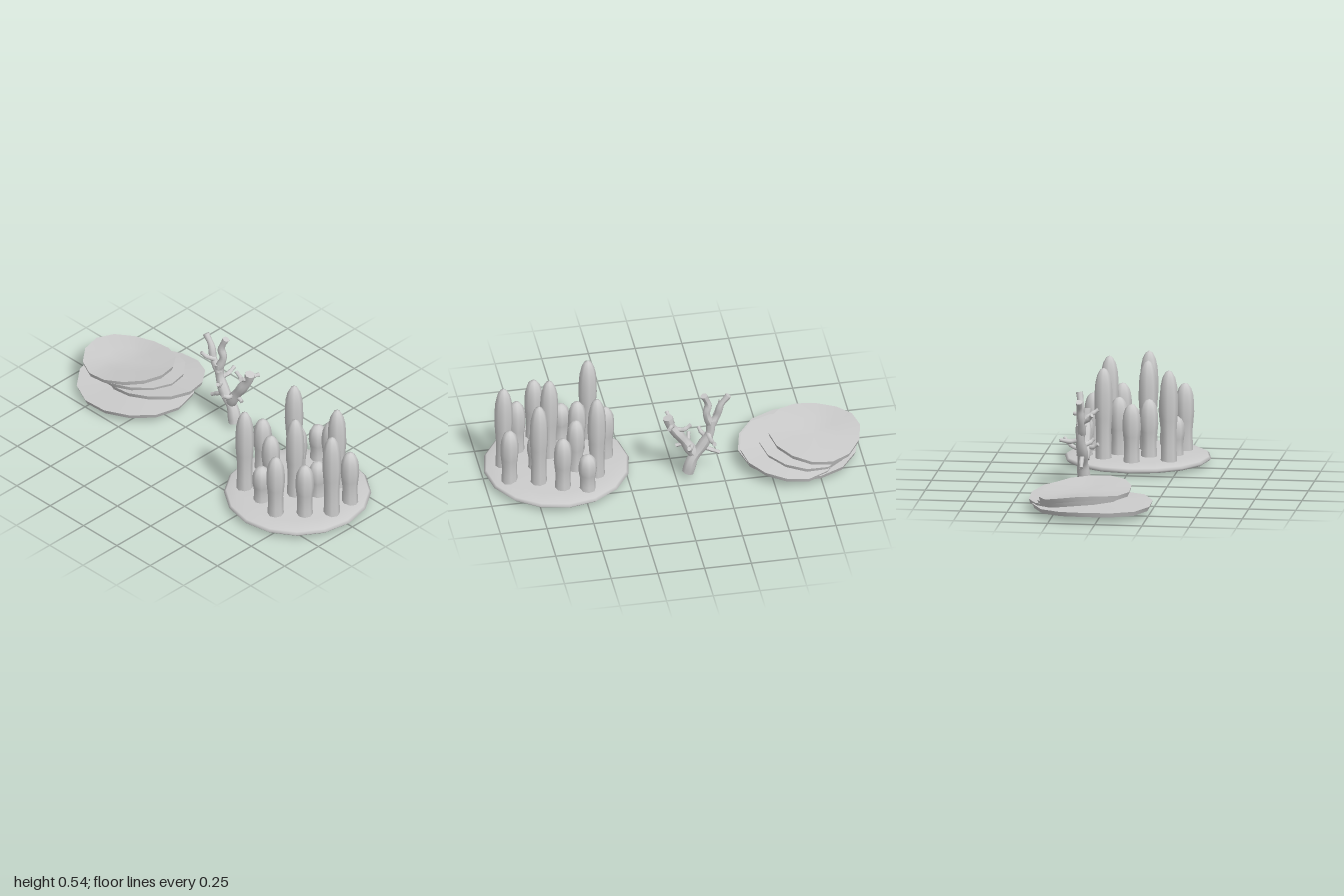
import * as THREE from 'three';
import { toCreasedNormals } from 'three/addons/utils/BufferGeometryUtils.js';

const material = new THREE.MeshStandardMaterial({ color: 0xcccccc, side: THREE.DoubleSide });
const V2 = ([x, y]) => new THREE.Vector2(x, y);

function addMesh(parent, name, geometry) {
  const mesh = new THREE.Mesh(geometry, material);
  mesh.name = name;
  parent.add(mesh);
  return mesh;
}

// Tapered, slightly knobbly tube with flat ends
function addLimb(parent, name, points, r0, r1) {
  const curve = new THREE.CatmullRomCurve3(points.map(p => new THREE.Vector3(...p)));
  const steps = points.length * 4, sides = 8;
  const geo = new THREE.TubeGeometry(curve, steps, 1, sides);
  const pos = geo.attributes.position;
  const v = new THREE.Vector3();
  const radius = t => r0 + (r1 - r0) * t + 0.1 * r1 * Math.sin(t * 14);
  for (let i = 0; i < pos.count; i++) {
    const t = Math.floor(i / (sides + 1)) / steps;
    const c = curve.getPointAt(t);
    v.fromBufferAttribute(pos, i).sub(c).multiplyScalar(radius(t)).add(c);
    pos.setXYZ(i, v.x, v.y, v.z);
  }
  geo.computeVertexNormals();
  const limb = new THREE.Group();
  limb.name = name;
  parent.add(limb);
  addMesh(limb, name + 'Surface', geo);
  for (const t of [0, 1]) {
    const cap = addMesh(limb, name + 'End', new THREE.CircleGeometry(radius(t), sides));
    const dir = curve.getTangentAt(t).multiplyScalar(t ? 1 : -1);
    cap.position.copy(curve.getPointAt(t));
    cap.quaternion.setFromUnitVectors(new THREE.Vector3(0, 0, 1), dir);
  }
}

// Round base carrying fingers of several heights
function createFingerCoral() {
  const group = new THREE.Group();
  group.name = 'fingerCoral';
  const baseProfile = [[0, 0], [0.3, 0.008], [0.375, 0.017], [0.388, 0.03], [0.375, 0.042], [0.3, 0.057], [0, 0.066]];
  const base = addMesh(group, 'coralBase', new THREE.LatheGeometry(baseProfile.map(V2), 16));
  base.position.set(-0.015, 0.003, 0.605);
  const profile = [[0.044, 0], [0.041, 0.15], [0.04, 0.32], [0.045, 0.46], [0.049, 0.58], [0.048, 0.72],
    [0.044, 0.83], [0.034, 0.92], [0.018, 0.98], [0, 1]];
  // x, z, top height
  const fingers = [
    [-0.016, 0.344, 0.37], [-0.206, 0.402, 0.545], [0.143, 0.418, 0.545], [-0.09, 0.481, 0.37],
    [-0.222, 0.545, 0.27], [0.074, 0.518, 0.37], [0.252, 0.487, 0.27], [0.222, 0.614, 0.37],
    [-0.063, 0.635, 0.545], [-0.254, 0.683, 0.42], [0.021, 0.72, 0.27], [0.153, 0.73, 0.545],
    [-0.148, 0.794, 0.37], [-0.037, 0.884, 0.545], [0.103, 0.878, 0.37],
  ];
  const foot = 0.05;
  for (const [x, z, top] of fingers) {
    const pts = profile.map(([r, t]) => V2([r, t * (top - foot)]));
    addMesh(group, 'finger', new THREE.LatheGeometry(pts, 8)).position.set(x, foot, z);
  }
  return group;
}

// Forked stem with short twigs
function createBranchCoral() {
  const group = new THREE.Group();
  group.name = 'branchCoral';
  addLimb(group, 'stem', [[0.18, 0.04, -0.064], [0.185, 0.12, -0.085], [0.18, 0.2, -0.14],
    [0.185, 0.28, -0.18], [0.18, 0.36, -0.185]], 0.033, 0.024);
  addLimb(group, 'frontBranch', [[0.18, 0.16, -0.09], [0.175, 0.22, -0.055], [0.18, 0.29, -0.01],
    [0.185, 0.35, 0.03], [0.185, 0.405, 0.045]], 0.03, 0.025);
  addLimb(group, 'upperBranch', [[0.18, 0.33, -0.185], [0.19, 0.41, -0.16], [0.185, 0.46, -0.17],
    [0.195, 0.53, -0.145]], 0.023, 0.017);
  addLimb(group, 'backBranch', [[0.18, 0.31, -0.18], [0.175, 0.38, -0.22], [0.18, 0.45, -0.24],
    [0.18, 0.505, -0.28]], 0.023, 0.016);
  const twigs = [
    [[0.18, 0.19, -0.14], [0.18, 0.17, -0.18], [0.175, 0.14, -0.23]],
    [[0.18, 0.32, 0.0], [0.2, 0.33, -0.04], [0.2, 0.355, -0.075]],
    [[0.19, 0.21, -0.08], [0.24, 0.22, -0.065], [0.29, 0.265, -0.05]],
    [[0.19, 0.28, -0.17], [0.24, 0.27, -0.175], [0.295, 0.28, -0.185]],
    [[0.17, 0.23, -0.05], [0.14, 0.22, -0.07], [0.105, 0.24, -0.08]],
    [[0.175, 0.38, -0.21], [0.14, 0.4, -0.23], [0.115, 0.43, -0.25]],
    [[0.18, 0.36, 0.02], [0.15, 0.38, 0.03], [0.12, 0.4, 0.04]],
    [[0.185, 0.35, 0.02], [0.22, 0.37, 0.035], [0.25, 0.375, 0.05]],
    [[0.18, 0.23, -0.07], [0.175, 0.22, -0.03], [0.17, 0.21, 0.0]],
    [[0.17, 0.25, -0.16], [0.14, 0.26, -0.14], [0.12, 0.28, -0.13]],
  ];
  for (const points of twigs) addLimb(group, 'twig', points, 0.014, 0.01);
  return group;
}

// Thin many-sided plate, tilted and bent along z
function addPlate(parent, { x, y, z, r, sides, slopeX = 0, slopeZ = 0, bend = 0, sag = 0 }) {
  const profile = [[0, -0.012 - sag], [r * 0.5, -0.012 - sag * 0.6], [r * 0.97, -0.012], [r, 0.012], [r * 0.5, 0.014], [0, 0.01]];
  const geo = new THREE.LatheGeometry(profile.map(V2), sides);
  const pos = geo.attributes.position;
  for (let i = 0; i < pos.count; i++) {
    const px = pos.getX(i), pz = pos.getZ(i);
    const ripple = 0.006 * Math.sin(Math.atan2(pz, px) * 3) * Math.hypot(px, pz) / r;
    pos.setY(i, pos.getY(i) + px * slopeX + pz * slopeZ + bend * (pz / r) ** 2 + ripple);
  }
  addMesh(parent, 'plate', toCreasedNormals(geo, 0.5)).position.set(x, y, z);
}

// Loose stack of plates
function createPlateCoral() {
  const group = new THREE.Group();
  group.name = 'plateCoral';
  addPlate(group, { x: 0.055, y: 0.044, z: -0.672, r: 0.318, sides: 14, sag: 0.024 });
  addPlate(group, { x: 0.135, y: 0.083, z: -0.615, r: 0.265, sides: 14, slopeX: -0.1, slopeZ: 0.06, bend: 0.01 });
  addPlate(group, { x: 0.105, y: 0.1, z: -0.7, r: 0.243, sides: 13, slopeX: -0.1, slopeZ: 0.05, bend: 0.008 });
  addPlate(group, { x: 0.083, y: 0.117, z: -0.757, r: 0.246, sides: 14, slopeX: -0.08, slopeZ: 0.05, bend: 0.028 });
  return group;
}

export function createModel() {
  const model = new THREE.Group();
  model.name = 'coralSet';
  model.add(createFingerCoral(), createBranchCoral(), createPlateCoral());
  return model;
}
